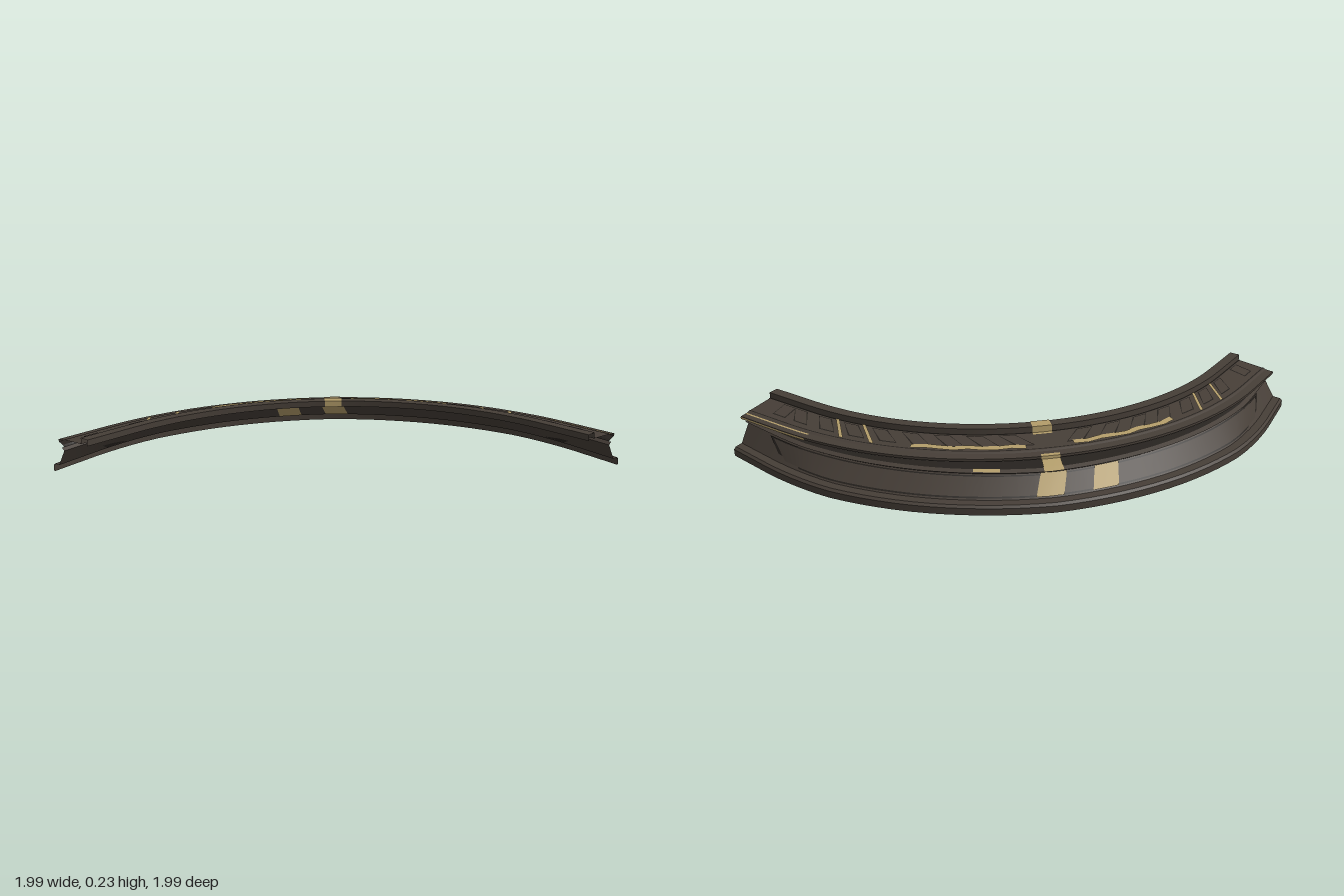
import * as THREE from 'three';

// Quarter-turn track: arc centre at (-C, C); t is degrees, running straight below 0 and above 90
const C = 0.74, END = 10, STRAIGHT = 0.26;

const flat = (name, color) => {
  const m = new THREE.MeshStandardMaterial({ color, side: THREE.DoubleSide });
  m.name = name;
  return m;
};

// Piecewise linear lookup
function lookup(table, v) {
  if (v <= table[0][0]) return table[0][1];
  for (let i = 1; i < table.length; i++) {
    const [a, p] = table[i - 1], [b, q] = table[i];
    if (v <= b) return p + (q - p) * (v - a) / (b - a);
  }
  return table[table.length - 1][1];
}
const fromEnd = t => Math.min(t, 90 - t);
const footRadius = t => lookup([[-10, 1.685], [5, 1.738], [12, 1.763], [25, 1.78], [45, 1.8]], fromEnd(t));
const skirtTop = t => lookup([[-10, 1.575], [5, 1.615], [45, 1.67]], fromEnd(t));
const bandHeight = r => 0.2 - (r - 1.43) * 0.09;

// Point at station t, radius r, height y
function place(t, r, y) {
  const k = STRAIGHT / END;
  if (t < 0) return [r - C, y, C - t * k];
  if (t > 90) return [-C - (t - 90) * k, y, C - r];
  const a = THREE.MathUtils.degToRad(t);
  return [r * Math.cos(a) - C, y, C - r * Math.sin(a)];
}

// Point on the sloping skirt: u = 0 top to 1 bottom, lifted outwards
function skirt(t, u, lift = 0) {
  const r0 = skirtTop(t) + 0.005, r1 = footRadius(t) - 0.05;
  return [r0 + (r1 - r0) * u + lift * 0.7, 0.13 - 0.085 * u + lift * 0.7];
}

export function createModel() {
  const model = new THREE.Group();
  const body = flat('darkBrown', 0x463e37);
  const line = flat('deepBrown', 0x26221e);
  const gold = flat('wornGold', 0xb39d6a);

  // Sweeps a profile of [radius, height, station shift] along the track, crisp between profile points
  function sweep(name, mat, t0, t1, profile) {
    const n = Math.max(1, Math.ceil((t1 - t0) / 2.5));
    const pos = [], idx = [];
    const count = profile(t0).length;
    for (let s = 0; s < count - 1; s++) {
      const base = pos.length / 3;
      for (let i = 0; i <= n; i++) {
        const t = t0 + (t1 - t0) * i / n;
        const p = profile(t);
        for (const [r, y, shift = 0] of [p[s], p[s + 1]]) pos.push(...place(t + shift, r, y));
        if (i < n) {
          const a = base + i * 2;
          idx.push(a, a + 1, a + 2, a + 1, a + 3, a + 2);
        }
      }
    }
    const g = new THREE.BufferGeometry();
    g.setAttribute('position', new THREE.Float32BufferAttribute(pos, 3));
    g.setIndex(idx);
    g.computeVertexNormals();
    const mesh = new THREE.Mesh(g, mat);
    mesh.name = name;
    model.add(mesh);
  }

  // Main shells
  sweep('upperBand', body, -END, 90 + END, () => [
    [1.38, 0.2], [1.38, 0.23], [1.43, 0.23], [1.43, 0.2], [1.57, bandHeight(1.57)],
    [1.58, 0.183], [1.62, 0.18], [1.62, 0.168]]);
  sweep('grooveUnderBand', line, -END, 90 + END, t => [
    [1.62, 0.168], [1.59, 0.158], [skirtTop(t), 0.15]]);
  sweep('skirtLedge', body, -END, 90 + END, t => [
    [skirtTop(t), 0.15], [skirtTop(t) + 0.022, 0.142], skirt(t, 0)]);
  sweep('skirt', body, -END, 90 + END, t => [skirt(t, 0), skirt(t, 1)]);
  sweep('foot', body, -END, 90 + END, t => {
    const r = footRadius(t);
    return [skirt(t, 1), [r - 0.012, 0.043], [r, 0.033], [r, 0]];
  });

  // Long skirt panel with a dark border and slanted ends
  sweep('skirtPanelBorder', line, -1, 91, t => {
    const d = t < 45 ? 1 : -1, w = Math.max(0, 1 - fromEnd(t) / 10) * d;
    return [[...skirt(t, 0.06, 0.003), -2 * w], [...skirt(t, 0.94, 0.003), 2 * w]];
  });
  sweep('skirtPanel', body, 0, 90, t => {
    const d = t < 45 ? 1 : -1, w = Math.max(0, 1 - fromEnd(t) / 10) * d;
    return [[...skirt(t, 0.12, 0.006), -2 * w], [...skirt(t, 0.88, 0.006), 2 * w]];
  });

  // Dark seams along the band
  for (const [r, w] of [[1.432, 0.005], [1.562, 0.006]])
    sweep('bandSeam', line, -END, 90 + END, () => [
      [r, bandHeight(r) + 0.002], [r + w, bandHeight(r + w) + 0.002]]);

  // Slanted strip lying on the band
  function bandPlate(name, mat, t, half, r0, r1, slant, lift) {
    sweep(name, mat, t - half, t + half, () => [
      [r0, bandHeight(r0) + lift, -slant / 2], [r1, bandHeight(r1) + lift, slant / 2]]);
  }
  const sides = [
    { at: e => e, dir: 1, panels: [-4, 0], first: 5.8, stripes: [8.9, 14.5] },
    { at: e => 90 - e, dir: -1, panels: [-5.6], first: 3.2, stripes: [6.2, 12.1] }];
  for (const { at, dir, panels, first, stripes } of sides) {
    const all = [...panels];
    for (let e = first; e < 43; e += 5.8) all.push(e);
    for (const e of all) {
      const slant = (e < -3 ? 0.6 : 3) * dir;
      bandPlate('bandPanelBorder', line, at(e), 1.55, 1.442, 1.535, slant, 0.002);
      bandPlate('bandPanel', body, at(e), 1.35, 1.447, 1.53, slant, 0.004);
    }
    for (const e of stripes) bandPlate('slantedStripe', gold, at(e), 0.38, 1.435, 1.565, 3.9 * dir, 0.006);
  }

  // Long worn stripes with a ragged edge
  for (const [a, b] of [[23, 42], [50, 69.5]])
    sweep('wornStripe', gold, a, b, t => {
      const r = 1.545 + 0.006 * Math.sin(t * 1.7);
      return [[r - 0.015, bandHeight(r - 0.015) + 0.006], [r + 0.015, bandHeight(r + 0.015) + 0.006]];
    });

  // Gold patches on the lip, ledge and both faces of the skirt
  sweep('lipPatch', gold, 43.8, 47.4, () => [
    [1.378, 0.2], [1.378, 0.232], [1.432, 0.232], [1.434, 0.202], [1.45, 0.2015]]);
  sweep('ledgePatch', gold, 44, 47, t => [
    [1.605, 0.184], [1.623, 0.182], [1.624, 0.168], [skirtTop(t), 0.153], [skirtTop(t) + 0.024, 0.144]]);
  for (const t of [45, 53.4])
    for (const lift of [0.009, -0.003])
      sweep('skirtPatch', gold, t - 2, t + 2, s => [
        [...skirt(s, 0.02, lift), 0.5], [...skirt(s, 0.95, lift), -0.5]]);
  sweep('ledgeStripe', gold, 33.5, 37.5, t => [[skirtTop(t), 0.153], [skirtTop(t) + 0.018, 0.146]]);

  // Thin gold trim along the band edge near one end
  sweep('edgeTrim', gold, -END, 5, () => [[1.585, 0.1845], [1.594, 0.184]]);
  sweep('edgeTrim', gold, -END, 5, () => [[1.622, 0.178], [1.622, 0.168]]);

  return model;
}
